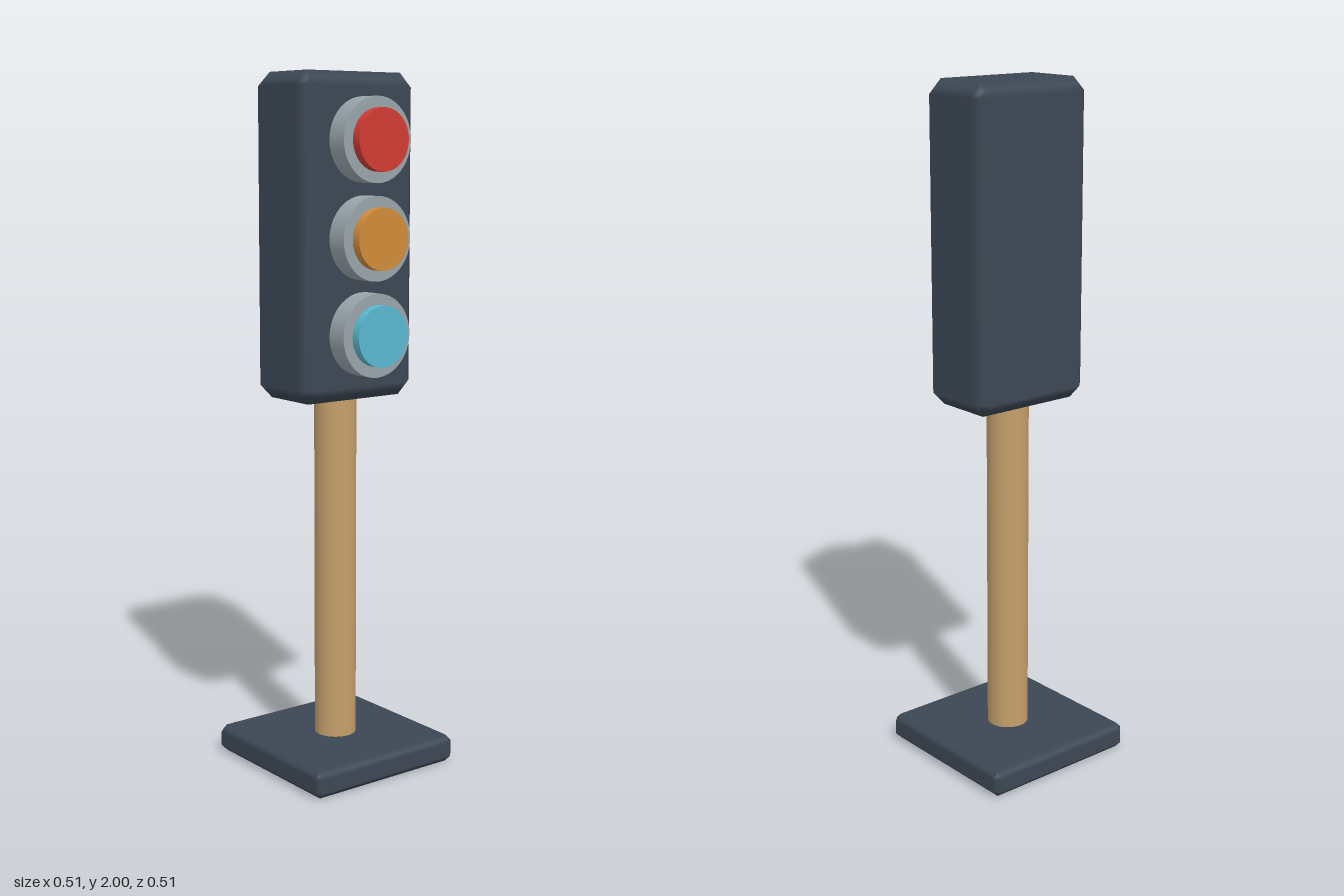
import * as THREE from 'three';

const material = (name, color) => {
  const m = new THREE.MeshStandardMaterial({ color });
  m.name = name;
  return m;
};

// Box with 45 degree chamfers on all edges and corners, shaded smoothly across them.
function chamferBox(w, h, d, c) {
  const half = [w / 2, h / 2, d / 2];
  const g = new THREE.BoxGeometry(w, h, d, 3, 3, 3);
  const pos = g.attributes.position, nor = g.attributes.normal;
  for (let i = 0; i < pos.count; i++) {
    const p = [pos.getX(i), pos.getY(i), pos.getZ(i)];
    const outer = p.map((v, a) => Math.abs(v) > half[a] - 1e-5);
    const k = outer.filter(Boolean).length;
    // outer coordinates slide onto the chamfer plane, inner ones to its border
    const q = p.map((v, a) => Math.sign(v) * (half[a] - (outer[a] ? c * (k - 1) / k : c)));
    const n = p.map((v, a) => (outer[a] ? Math.sign(v) / Math.sqrt(k) : 0));
    pos.setXYZ(i, ...q);
    nor.setXYZ(i, ...n);
  }
  return g;
}

export function createModel() {
  const model = new THREE.Group();
  model.name = 'trafficLight';

  const slate = material('slate', 0x3c4754);
  const wood = material('wood', 0xc5a06a);
  const grey = material('grey', 0x98a4aa);
  const red = material('red', 0xd23b34);
  const amber = material('amber', 0xd08c3a);
  const blue = material('blue', 0x58b8d0);

  const add = (parent, name, geometry, mat, x, y, z) => {
    const mesh = new THREE.Mesh(geometry, mat);
    mesh.name = name;
    mesh.position.set(x, y, z);
    parent.add(mesh);
    return mesh;
  };

  // Foot, post and lamp housing
  add(model, 'base', chamferBox(0.506, 0.08, 0.506, 0.02), slate, 0, 0.04, 0);
  add(model, 'post', new THREE.CylinderGeometry(0.061, 0.061, 1.06, 32), wood, 0, 0.59, 0);
  add(model, 'housing', chamferBox(0.404, 0.91, 0.253, 0.04), slate, 0, 1.545, 0);

  // Three lamps: a grey bezel with a coloured lens standing proud of it
  const bezel = new THREE.CylinderGeometry(0.117, 0.117, 0.09, 48).rotateX(Math.PI / 2);
  const lens = new THREE.CylinderGeometry(0.086, 0.086, 0.06, 48).rotateX(Math.PI / 2);
  [['red', red, 1.815], ['amber', amber, 1.547], ['blue', blue, 1.28]].forEach(([name, mat, y]) => {
    const lamp = new THREE.Group();
    lamp.name = name + 'Lamp';
    lamp.position.y = y;
    add(lamp, 'bezel', bezel, grey, 0, 0, 0.145);
    add(lamp, 'lens', lens, mat, 0, 0, 0.188);
    model.add(lamp);
  });

  return model;
}
